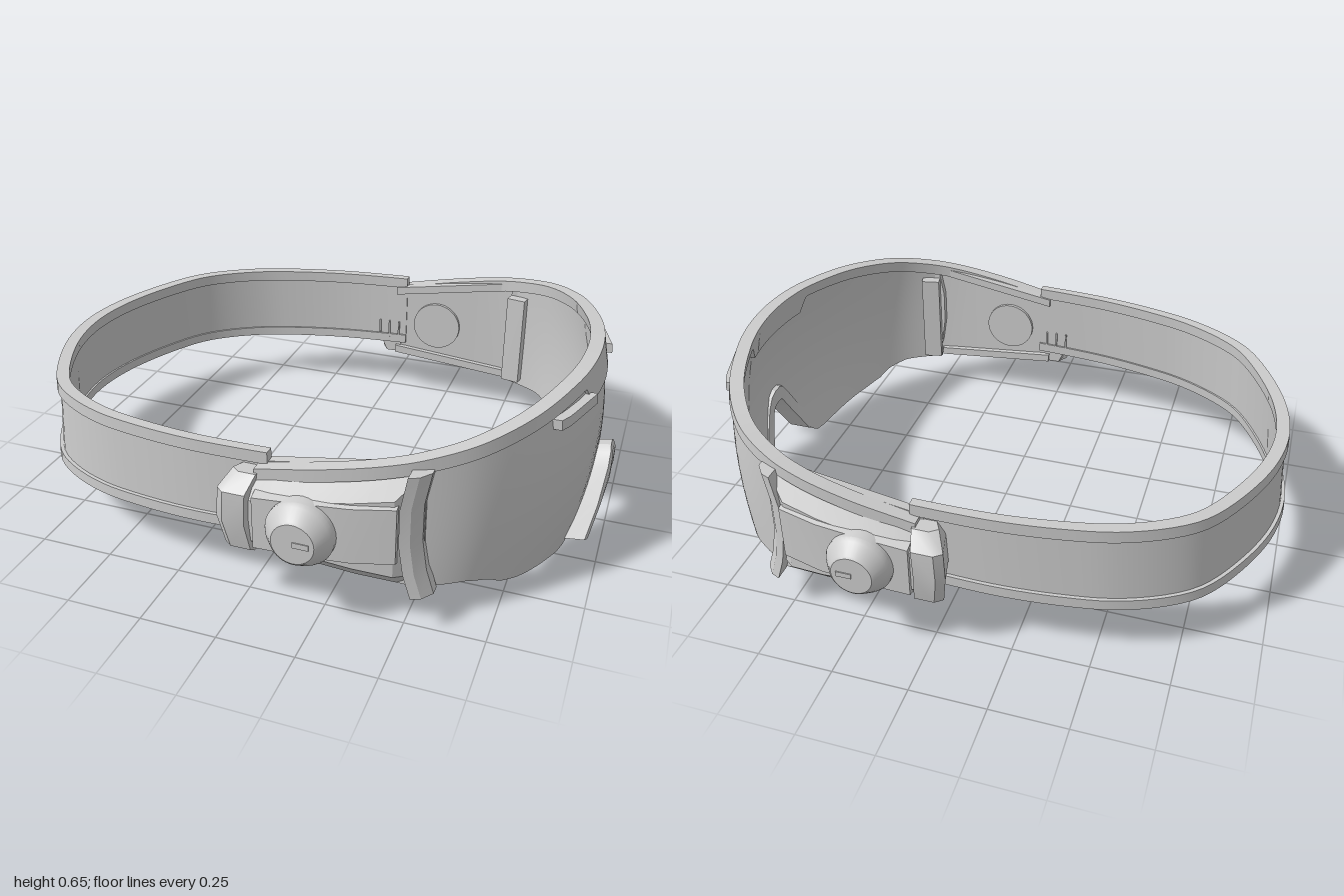
import * as THREE from 'three';
import { toCreasedNormals } from 'three/addons/utils/BufferGeometryUtils.js';

const { lerp, clamp } = THREE.MathUtils;

// piecewise linear lookup in [[key, value], ...]
function lookup(table, k) {
  if (k <= table[0][0]) return table[0][1];
  for (let i = 1; i < table.length; i++) {
    const [a, va] = table[i - 1], [b, vb] = table[i];
    if (k <= b) return lerp(va, vb, (k - a) / (b - a));
  }
  return table[table.length - 1][1];
}

// solid skin through closed cross-sections (arrays of [x, y, z]) with end caps
function loft(sections) {
  const tris = [], n = sections[0].length;
  for (let s = 0; s < sections.length - 1; s++) {
    const a = sections[s], b = sections[s + 1];
    for (let i = 0; i < n; i++) {
      const j = (i + 1) % n;
      tris.push([a[i], a[j], b[j]], [a[i], b[j], b[i]]);
    }
  }
  const first = sections[0], last = sections[sections.length - 1];
  for (let i = 1; i < n - 1; i++) {
    tris.push([first[0], first[i + 1], first[i]], [last[0], last[i], last[i + 1]]);
  }
  // turn the skin outward whichever way the sections ran
  let volume = 0;
  for (const [a, b, c] of tris) {
    volume += a[0] * (b[1] * c[2] - b[2] * c[1]) + a[1] * (b[2] * c[0] - b[0] * c[2]) + a[2] * (b[0] * c[1] - b[1] * c[0]);
  }
  if (volume < 0) tris.forEach((t) => t.reverse());
  const geo = new THREE.BufferGeometry();
  geo.setAttribute('position', new THREE.Float32BufferAttribute(tris.flat(2), 3));
  return toCreasedNormals(geo, 0.5);
}

// plan curve mirrored in z; the half runs from a side end to the middle
function plan(half) {
  const pts = half.map(([x, z]) => new THREE.Vector3(x, 0, z));
  const mirrored = half.slice(0, -1).reverse().map(([x, z]) => new THREE.Vector3(x, 0, -z));
  return new THREE.CatmullRomCurve3([...pts, ...mirrored], false, 'centripetal');
}

// sweep a section of [outward offset, y] along a plan curve
function sweep(curve, n, section, minX = -2) {
  const sections = [];
  for (let i = 0; i <= n; i++) {
    const p = curve.getPointAt(i / n), t = curve.getTangentAt(i / n);
    if (p.x < minX) continue;
    let nx = t.z, nz = -t.x;
    if (nx * p.x + nz * p.z < 0) { nx = -nx; nz = -nz; }
    sections.push(section(p.x, p.z).map(([o, y]) => [p.x + nx * o, y, p.z + nz * o]));
  }
  return loft(sections);
}

const rect = (o0, o1, y0, y1) => [[o0, y0], [o1, y0], [o1, y1], [o0, y1]];

const strapCurve = plan([[0.07, 0.745], [-0.2, 0.74], [-0.4, 0.715], [-0.55, 0.68], [-0.7, 0.61],
  [-0.8, 0.53], [-0.9, 0.37], [-0.975, 0.18], [-1, 0]]);
const frontCurve = plan([[0.04, 0.775], [0.25, 0.778], [0.42, 0.76], [0.55, 0.72], [0.68, 0.645],
  [0.8, 0.51], [0.88, 0.36], [0.935, 0.19], [0.955, 0]]);

const frontTop = (x) => 0.46 + 0.2045 * (x - 0.05);
// the lens leans back above and below its middle
const bulge = (x, y) => -0.38 * (y - 0.33) ** 2 * clamp((x - 0.5) / 0.4, 0, 1);
const lensBottom = (z) => lookup([[0, 0.275], [0.025, 0.268], [0.055, 0.23], [0.17, 0.02], [0.2, 0], [0.25, 0],
  [0.5, 0.05], [0.56, 0.07], [0.6, 0.1], [0.66, 0.12]], Math.abs(z));

export function createModel() {
  const model = new THREE.Group();
  const material = new THREE.MeshStandardMaterial({ color: 0xcccccc });
  const add = (name, geo, parent = model) => {
    const mesh = new THREE.Mesh(geo, material);
    mesh.name = name;
    parent.add(mesh);
    return mesh;
  };

  // head strap: recessed wall between two rails
  const strapY = (x) => [0.17 + 0.042 * (x + 1), 0.47 + 0.028 * (x + 1)];
  const strapBand = (from, to) => (x) => {
    const [b, t] = strapY(x), back = clamp(-x, 0, 1);
    return from(b, t, 0.032 + 0.012 * back).map(([o, y]) => [o - 0.025 * back * (y - b) / (t - b), y]);
  };
  add('strapWall', sweep(strapCurve, 72, strapBand((b, t, w) => rect(-w + 0.007, -0.012, b + 0.02, t - 0.02))));
  add('strapTopRail', sweep(strapCurve, 72, strapBand((b, t, w) => rect(-w, 0, t - 0.04, t))));
  add('strapBottomRail', sweep(strapCurve, 72, strapBand((b, t, w) => rect(-w, 0, b, b + 0.035))));

  // wraparound lens with the nose notch
  add('lens', sweep(frontCurve, 180, (x, z) => {
    const b = lensBottom(z), t = frontTop(x) - 0.02, outer = [], inner = [];
    for (let i = 0; i <= 8; i++) {
      const y = lerp(b, t, i / 8), o = bulge(x, y);
      outer.push([o - 0.008, y]);
      inner.unshift([o - 0.028, y]);
    }
    return [...outer, ...inner];
  }, 0.5));

  // brow rim, deeper across the middle
  add('browRim', sweep(frontCurve, 160, (x, z) => {
    const t = frontTop(x), b = lerp(0.54, t - 0.042, clamp((Math.abs(z) - 0.19) / 0.035, 0, 1));
    return [[bulge(x, b) - 0.045, b], [bulge(x, b) + 0.002, b], [bulge(x, t) + 0.002, t], [bulge(x, t) - 0.045, t]];
  }));

  // nose piece: inverted V of [outer z, outer y, inner z, inner y, front x]
  const noseHalf = [[0.2, 0.04, 0.145, 0.03, 0.962], [0.14, 0.145, 0.09, 0.13, 0.985], [0.075, 0.255, 0.048, 0.205, 0.998],
    [0.045, 0.295, 0.03, 0.232, 0.998], [0.018, 0.31, 0.012, 0.243, 0.995]];
  const noseMirror = [...noseHalf].reverse().map(([a, b, c, d, e]) => [-a, b, -c, d, e]);
  add('nosePiece', loft([...noseHalf, ...noseMirror].map(([oz, oy, iz, iy, fx]) => [
    [fx - 0.085, oy - 0.012, oz * 0.98], [fx - 0.008, oy, oz], [fx, lerp(oy, iy, 0.3), lerp(oz, iz, 0.3)],
    [fx, iy, iz], [fx - 0.085, iy, iz],
  ])));

  for (const s of [1, -1]) {
    const side = new THREE.Group();
    side.name = s > 0 ? 'leftSide' : 'rightSide';
    model.add(side);

    // brow tab beside the middle section
    const tab = [];
    for (let i = 0; i <= 6; i++) {
      const z = lerp(0.19, 0.4, i / 6), x = lookup([[0.19, 0.935], [0.36, 0.88], [0.51, 0.8]], z) - 0.012;
      tab.push([[x - 0.02, 0.542, s * z], [x + 0.015, 0.542, s * z], [x + 0.012, 0.575, s * z], [x - 0.02, 0.575, s * z]]);
    }
    add('browTab', loft(tab), side);

    // housing: bevelled body of [x, outer z, bottom, top]
    const body = [[0.02, 0.825, 0.178, 0.445], [0.1, 0.83, 0.175, 0.462], [0.2, 0.83, 0.168, 0.48],
      [0.35, 0.82, 0.15, 0.505], [0.47, 0.8, 0.135, 0.525], [0.545, 0.735, 0.122, 0.54]];
    add('housing', loft(body.map(([x, z, b, t]) => {
      const back = Math.min(z - 0.02, 0.725), edge = Math.max(z - 0.06, back + 0.01);
      return [[x, b, s * back], [x, b, s * edge], [x, b + 0.05, s * (z - 0.015)], [x, t - 0.08, s * (z - 0.015)],
        [x, t - 0.015, s * edge], [x, t - 0.015, s * back]];
    })), side);

    // raised panel on the housing
    const panel = [[0.05, 0.825, 0.215, 0.39], [0.2, 0.828, 0.222, 0.405], [0.35, 0.82, 0.23, 0.415], [0.48, 0.795, 0.24, 0.425]];
    add('sidePanel', loft(panel.map(([x, z, b, t]) => [
      [x, b - 0.012, s * (z - 0.04)], [x, b, s * z], [x, t, s * z], [x, t + 0.012, s * (z - 0.04)],
    ])), side);

    // rear block where the strap enters
    const block = [[0.17, -0.035, 0.035, 0.78], [0.2, -0.05, 0.04, 0.82], [0.3, -0.065, 0.03, 0.84],
      [0.4, -0.06, 0.035, 0.838], [0.445, -0.03, 0.05, 0.785]];
    add('rearBlock', loft(block.map(([y, x0, x1, z]) => [
      [x0 + 0.025, y, s * 0.72], [x0, y, s * (z - 0.02)], [x0 + 0.025, y, s * z], [x1, y, s * z], [x1 + 0.01, y, s * 0.72],
    ])), side);

    // curved frame strip closing the lens end
    const strip = [[0.12, 0.555], [0.2, 0.53], [0.3, 0.515], [0.42, 0.515], [0.53, 0.535]];
    add('lensEndFrame', loft(strip.map(([y, x]) => [
      [x - 0.03, y, s * 0.785], [x, y, s * 0.772], [x + 0.028, y, s * 0.735], [x + 0.028, y, s * 0.7], [x - 0.03, y, s * 0.7],
    ])), side);
    const clip = add('innerClip', new THREE.BoxGeometry(0.07, 0.35, 0.04), side);
    clip.position.set(0.53, 0.32, s * 0.672);
    clip.rotation.y = s * 0.2;

    // inward rails along the housing's lower and upper edges
    for (const [name, y0, y1] of [['lowerInnerRail', 0.172, 0.13], ['upperInnerRail', 0.43, 0.51]]) {
      add(name, loft([[0.03, y0], [0.5, y1]].map(([x, y]) => [
        [x, y, s * 0.705], [x, y + 0.03, s * 0.705], [x, y + 0.03, s * 0.735], [x, y, s * 0.735],
      ])), side);
    }

    // knob with a slot, and its inner disc
    const knob = add('knob', new THREE.LatheGeometry([[0, -0.06], [0.107, -0.06], [0.107, 0.012], [0.1, 0.025], [0.073, 0.062],
      [0.066, 0.067], [0, 0.067]].map(([r, y]) => new THREE.Vector2(r, y)), 40), side);
    knob.geometry = toCreasedNormals(knob.geometry, 0.5);
    knob.position.set(0.205, 0.31, s * 0.828);
    knob.rotation.x = s * Math.PI / 2;
    const slot = add('knobSlot', new THREE.BoxGeometry(0.05, 0.018, 0.01), side);
    slot.position.set(0.23, 0.31, s * 0.893);
    const disc = add('innerDisc', new THREE.CylinderGeometry(0.095, 0.095, 0.02, 40), side);
    disc.position.set(0.2, 0.31, s * 0.722);
    disc.rotation.x = Math.PI / 2;

    // small adjustment ticks inside the strap end
    for (const x of [-0.04, 0, 0.04]) {
      const tick = add('strapTick', new THREE.BoxGeometry(0.006, 0.07, 0.012), side);
      tick.position.set(x, 0.27, s * 0.717);
    }
  }
  return model;
}
